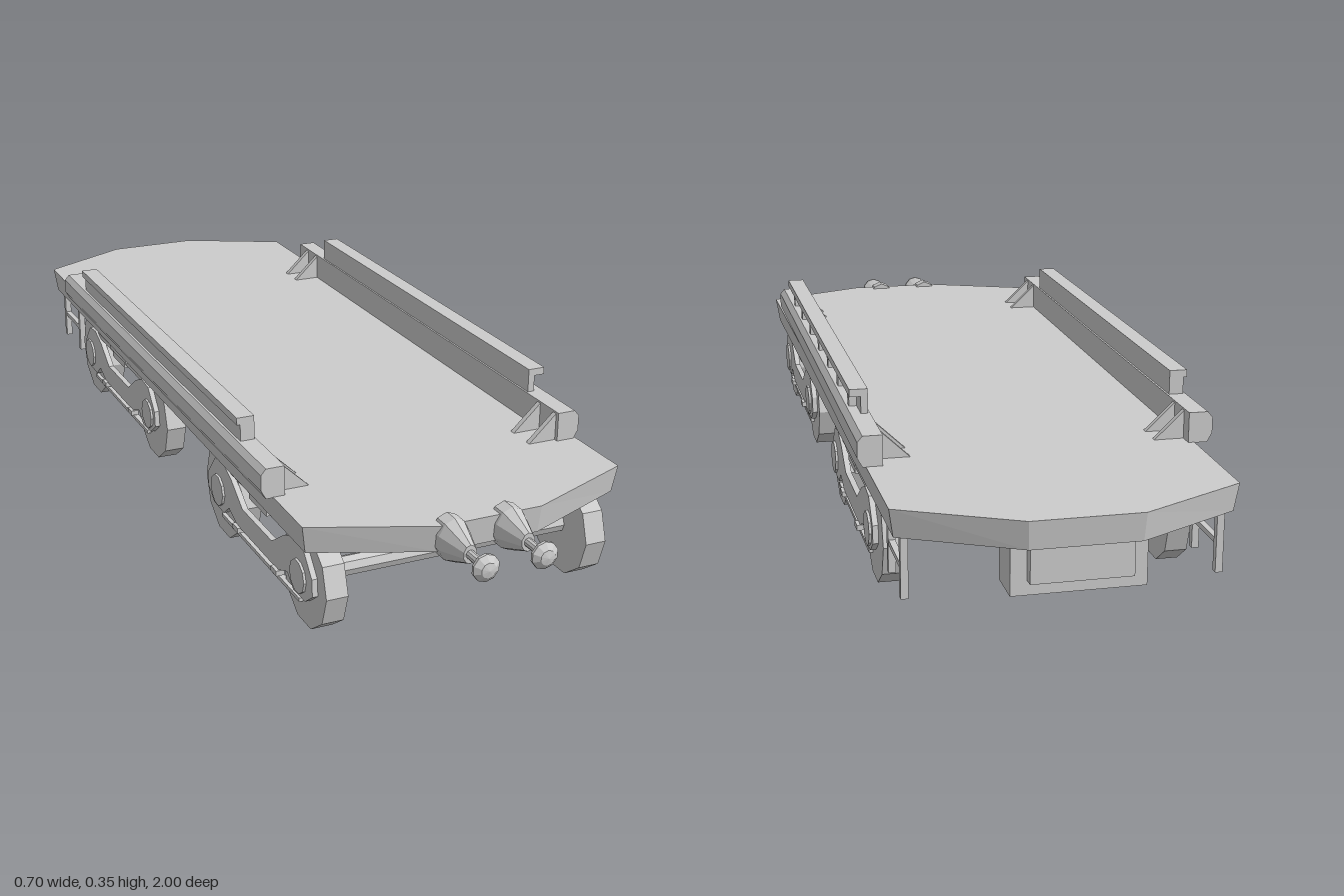
import * as THREE from 'three';

const mat = new THREE.MeshStandardMaterial({ color: 0xcccccc, flatShading: true, side: THREE.DoubleSide });
const CX = 0.011; // running gear sits slightly off centre

function add(parent, name, geo, x = 0, y = 0, z = 0) {
  const m = new THREE.Mesh(geo, mat);
  m.name = name;
  m.position.set(x, y, z);
  parent.add(m);
  return m;
}

const outline = pts => new THREE.Shape(pts.map(p => new THREE.Vector2(...p)));
const extrude = (pts, depth) => new THREE.ExtrudeGeometry(outline(pts), { depth, bevelEnabled: false });

// Box given by its min and max on each axis
function block(parent, name, x0, x1, y0, y1, z0, z1) {
  return add(parent, name, new THREE.BoxGeometry(Math.abs(x1 - x0), y1 - y0, z1 - z0),
    (x0 + x1) / 2, (y0 + y1) / 2, (z0 + z1) / 2);
}

// Cylinder lying along x; flat side down for the ten-sided wheels
function crossCylinder(r, length, sides) {
  return new THREE.CylinderGeometry(r, r, length, sides).rotateZ(Math.PI / 2);
}

// Profile in x/y extruded from z0 to z1, mirrored by s
const alongZ = (s, pts, z0, z1) => extrude(pts.map(([x, y]) => [s * x, y]), z1 - z0).translate(0, 0, z0);

function deck(parent) {
  const pts = [[-0.1, -1], [0.11, -1], [0.33, -0.89], [0.345, 0.77],
    [0.115, 0.865], [-0.095, 0.865], [-0.325, 0.77], [-0.31, -0.89]];
  const geo = extrude(pts.map(([x, z]) => [x, -z]), 0.055).rotateX(-Math.PI / 2);
  // Underside is a little narrower than the top
  const p = geo.attributes.position;
  for (let i = 0; i < p.count; i++) {
    if (p.getY(i) < 0.01) p.setXYZ(i, p.getX(i) * 0.975, 0, p.getZ(i) * 0.993);
  }
  geo.computeVertexNormals();
  add(parent, 'deck', geo, 0, 0.184, 0);
}

function sideRail(parent, s) {
  const g = new THREE.Group();
  g.name = s > 0 ? 'leftRail' : 'rightRail';
  parent.add(g);
  const shift = s > 0 ? -0.013 : 0;
  add(g, 'lowerBeam', alongZ(s, [[0.3, 0.238], [0.338, 0.238], [0.348, 0.256], [0.348, 0.287],
    [0.338, 0.299], [0.3, 0.299]], -0.645 + shift, 0.633 + shift));
  const webOuter = s > 0 ? 0.318 : 0.333;
  add(g, 'upperRail', alongZ(s, [[0.304, 0.298], [webOuter, 0.298], [webOuter, 0.333],
    [0.34, 0.333], [0.34, 0.348], [0.304, 0.348]], -0.515, 0.495));
  // Ribs under the flange
  if (s > 0) for (let i = 0; i < 7; i++) {
    const z = -0.45 + i * 0.147;
    block(g, 'rib', 0.316, 0.333, 0.298, 0.334, z - 0.01, z + 0.01);
  }
  for (const z of [-0.61, -0.555, 0.545, 0.605]) {
    add(g, 'gusset', alongZ(s, [[0.302, 0.238], [0.24, 0.238], [0.302, 0.297]], z - 0.006, z + 0.006));
  }
}

// Half profile of the bogie side frame, (distance from centre, height)
const FRAME_TOP = [[0.075, 0.112], [0.135, 0.152], [0.18, 0.17], [0.225, 0.165], [0.265, 0.12]];
const FRAME_BOTTOM = [[0.268, 0.085], [0.235, 0.06], [0.18, 0.058], [0.15, 0.082], [0.105, 0.064]];

function bogie(parent, zc, half) {
  const g = new THREE.Group();
  g.name = 'bogie';
  g.position.set(CX, 0, zc);
  parent.add(g);
  const right = [...FRAME_TOP, ...FRAME_BOTTOM];
  const pts = [...right, ...right.map(([z, y]) => [-z, y]).reverse()];
  for (const dz of [-half, half]) {
    add(g, 'axle', crossCylinder(0.02, 0.52, 8), 0, 0.102, dz);
    for (const s of [-1, 1]) {
      const wheel = add(g, 'wheel', crossCylinder(0.1, 0.044, 10), s * 0.277, 0.095, dz);
      wheel.rotation.x = 0;
      add(g, 'axleBox', crossCylinder(0.034, 0.018, 10), s * 0.306, 0.1, dz);
    }
  }
  for (const s of [-1, 1]) {
    add(g, 'sideFrame', extrude(pts, 0.012).rotateY(-Math.PI / 2).translate(0.006, 0, 0), s * 0.304, 0, 0);
    block(g, 'upperTieBar', s * 0.29, s * 0.305, 0.158, 0.168, -0.2, 0.2);
    block(g, 'lowerTieBar', s * 0.295, s * 0.307, 0.041, 0.049, -0.2, 0.2);
    // Spring seat in the middle of the frame
    block(g, 'springSeat', s * 0.285, s * 0.31, 0.166, 0.186, -0.06, 0.06);
    block(g, 'springPad', s * 0.288, s * 0.308, 0.15, 0.167, -0.045, 0.045);
    for (const dz of [-0.1, 0.1]) {
      block(g, 'frameFoot', s * 0.3, s * 0.317, 0.055, 0.066, dz - 0.014, dz + 0.014);
    }
  }
}

function buffer(parent, x) {
  const g = new THREE.Group();
  g.name = 'buffer';
  g.position.set(x, 0.208, 0.86);
  parent.add(g);
  const turned = pts => new THREE.LatheGeometry(pts.map(p => new THREE.Vector2(...p)), 10)
    .rotateX(Math.PI / 2);
  add(g, 'bufferHousing', turned([[0, -0.02], [0.033, -0.02], [0.033, 0.01], [0.014, 0.07], [0, 0.07]]))
    .scale.y = 1.33;
  add(g, 'bufferHead', turned([[0.009, 0.06], [0.009, 0.115], [0.027, 0.121], [0.027, 0.127],
    [0.015, 0.137], [0, 0.14]]));
}

function ladder(parent, s) {
  const g = new THREE.Group();
  g.name = 'stepLadder';
  g.position.x = 0.009 + s * 0.292;
  parent.add(g);
  for (const z of [-0.742, -0.868]) block(g, 'ladderPost', -0.007, 0.007, 0.063, 0.19, z - 0.007, z + 0.007);
  for (const y of [0.122, 0.176]) block(g, 'ladderRung', -0.006, 0.006, y - 0.005, y + 0.005, -0.868, -0.742);
}

function equipmentBox(parent) {
  const g = new THREE.Group();
  g.name = 'equipmentBox';
  parent.add(g);
  // Plan with chamfered front corners
  const plan = [[-0.096, -0.865], [0.114, -0.865], [0.133, -0.885], [0.133, -0.965],
    [-0.115, -0.965], [-0.115, -0.885]];
  add(g, 'boxBody', extrude(plan.map(([x, z]) => [x, -z]), 0.1).rotateX(-Math.PI / 2), 0, 0.09, 0);
  block(g, 'boxPanel', -0.085, 0.103, 0.118, 0.186, -0.987, -0.96);
}

export function createModel() {
  const model = new THREE.Group();
  model.name = 'flatWagon';
  deck(model);
  for (const s of [-1, 1]) {
    sideRail(model, s);
    ladder(model, s);
  }
  bogie(model, 0.49, 0.206);
  bogie(model, -0.387, 0.221);
  for (const x of [-0.07, 0.049]) buffer(model, x);
  equipmentBox(model);
  // Ten-sided wheels rest on a flat side at ground level
  return model;
}
